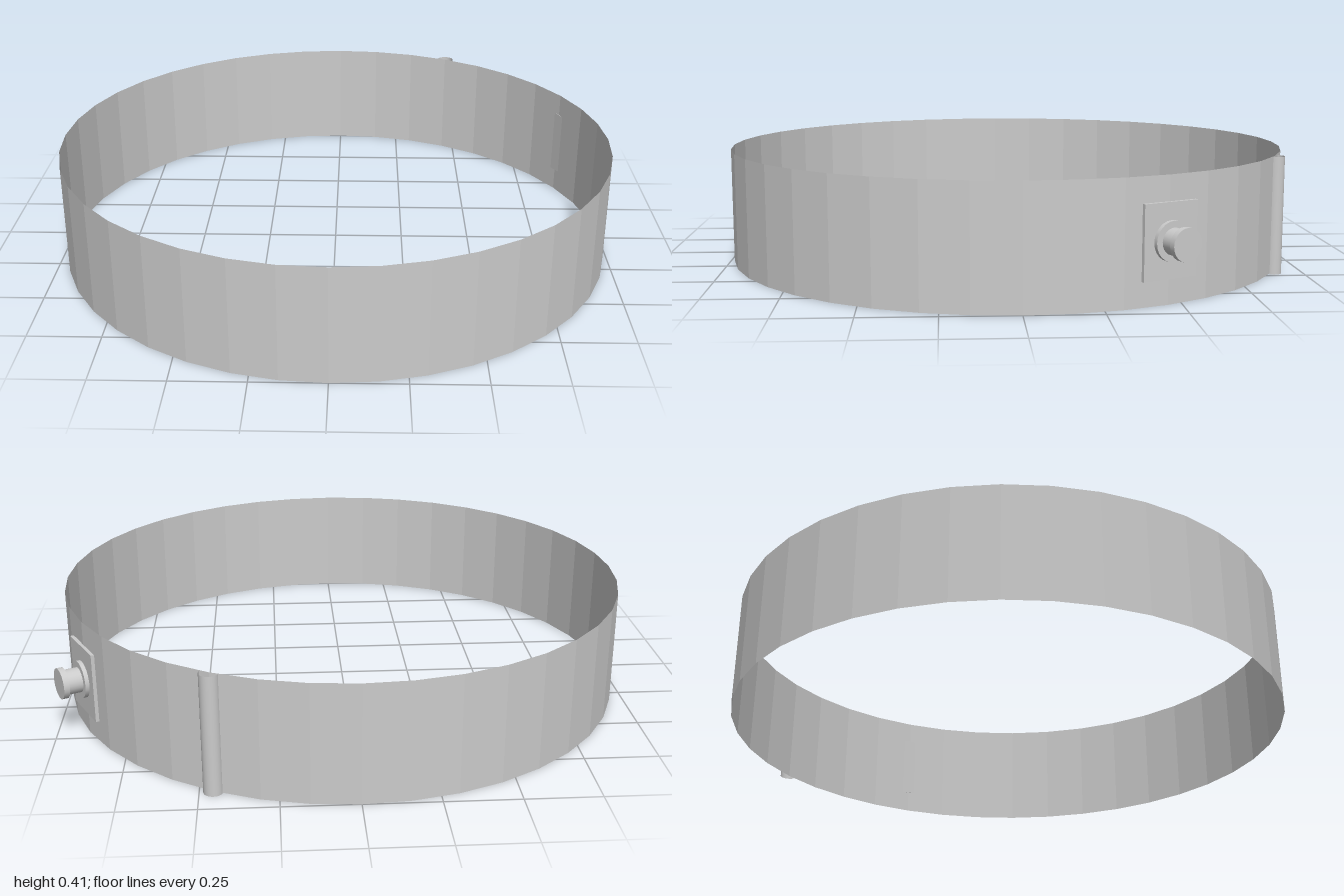
import * as THREE from 'three';

const HEIGHT = 0.405;
const MID = HEIGHT / 2;

export function createModel() {
  const model = new THREE.Group();
  model.name = 'clampBand';
  const flat = new THREE.MeshStandardMaterial({ color: 0xcccccc, flatShading: true, side: THREE.DoubleSide });
  const smooth = new THREE.MeshStandardMaterial({ color: 0xcccccc, side: THREE.DoubleSide });

  const add = (parent, name, geometry, material) => {
    const mesh = new THREE.Mesh(geometry, material);
    mesh.name = name;
    parent.add(mesh);
    return mesh;
  };

  // Group whose +x axis points out of the band at the given angle
  const mount = (name, degrees) => {
    const group = new THREE.Group();
    group.name = name;
    group.position.y = MID;
    group.rotation.y = THREE.MathUtils.degToRad(degrees);
    model.add(group);
    return group;
  };

  // Thin faceted band, open above and below
  add(model, 'band', new THREE.CylinderGeometry(1, 1, HEIGHT, 40, 1, true), flat).position.y = MID;

  // Half-round seam running the full height on the outside
  const seam = mount('seam', 63);
  add(seam, 'seamCover', new THREE.CylinderGeometry(0.032, 0.032, HEIGHT, 12, 1, true, 0, Math.PI), smooth)
    .position.x = 1.003;

  // Square plate carrying a stud with a flange, neck and cap
  const fitting = mount('fitting', 27);
  add(fitting, 'plate', new THREE.BoxGeometry(0.012, 0.24, 0.2), flat).position.x = 1.004;
  const stud = [
    ['flange', 0.064, 1.01, 1.024],
    ['neck', 0.043, 1.024, 1.073],
    ['cap', 0.053, 1.073, 1.093],
  ];
  for (const [name, radius, from, to] of stud) {
    const geometry = new THREE.CylinderGeometry(radius, radius, to - from, 24).rotateZ(-Math.PI / 2);
    add(fitting, name, geometry, smooth).position.x = (from + to) / 2;
  }

  return model;
}
